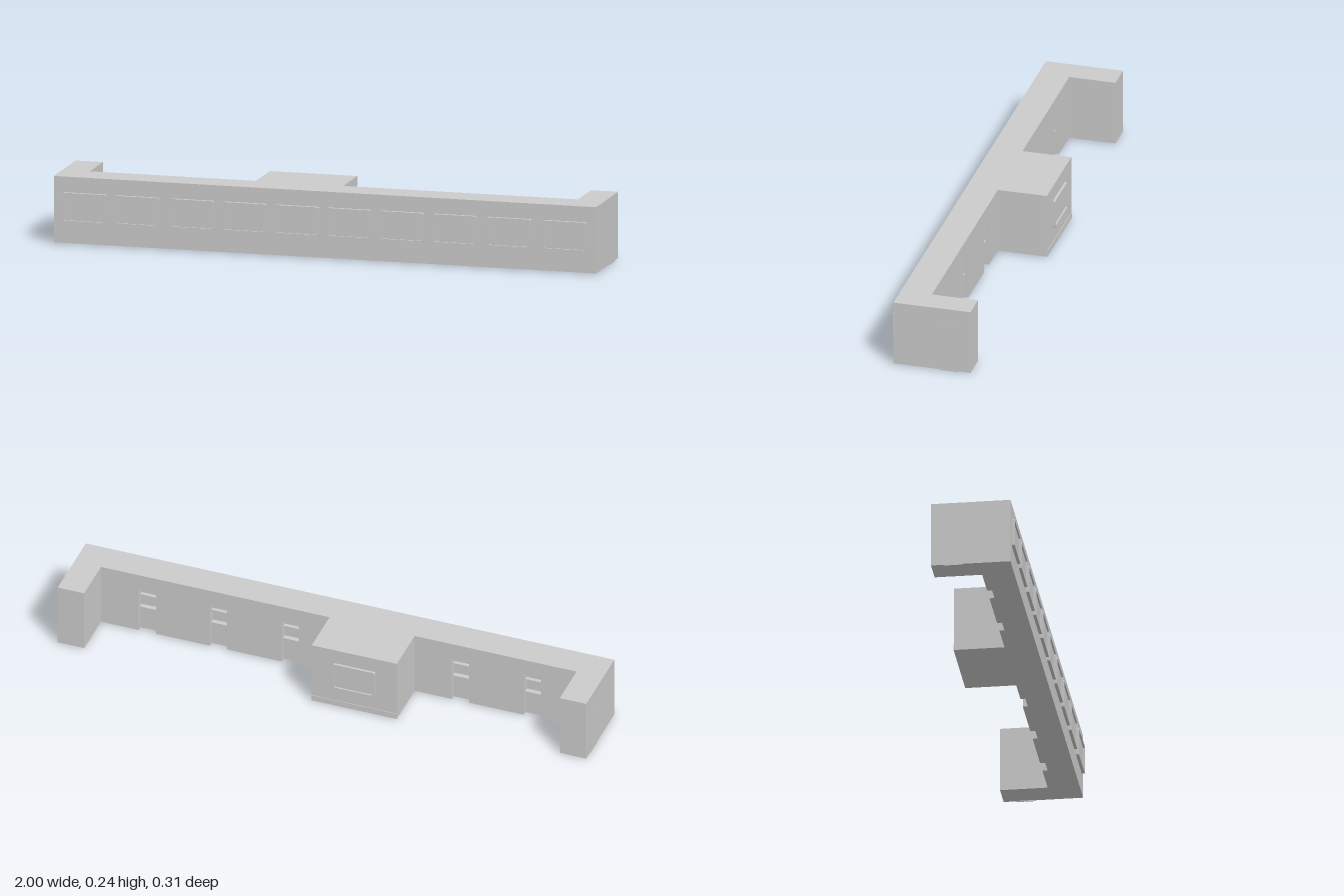
import * as THREE from 'three';

const BASE = 0.003, TOP = 0.243, DOOR_TOP = 0.18;
const FRONT = 0.146, WALL = 0.032, WING = -0.138, BLOCK = -0.148;
const DOOR_W = 0.065, NICHE = 0.03;
const DOORS = [0.725, 0.455, 0.183, -0.46, -0.733];
const material = new THREE.MeshStandardMaterial({ color: 0xcccccc, flatShading: true });

function add(parent, geometry, name, x = 0, y = 0, z = 0) {
  const mesh = new THREE.Mesh(geometry, material);
  mesh.name = name;
  mesh.position.set(x, y, z);
  parent.add(mesh);
  return mesh;
}

// Building plan, as (x, -z); the lower storey has door niches cut in the rear wall
function footprint(withNiches) {
  const pts = [[-1, FRONT], [1, FRONT], [1, WING], [0.9, WING], [0.9, WALL]];
  const niches = (test) => {
    if (!withNiches) return;
    for (const x of DOORS.filter(test)) {
      const a = x + DOOR_W / 2, b = x - DOOR_W / 2;
      pts.push([a, WALL], [a, WALL + NICHE], [b, WALL + NICHE], [b, WALL]);
    }
  };
  niches((x) => x > 0);
  pts.push([0.035, WALL], [0.035, BLOCK], [-0.287, BLOCK], [-0.287, WALL]);
  niches((x) => x < 0);
  pts.push([-0.9, WALL], [-0.9, WING], [-1, WING]);
  return new THREE.Shape(pts.map(([x, z]) => new THREE.Vector2(x, -z)));
}

function storey(withNiches, y0, y1) {
  const g = new THREE.ExtrudeGeometry(footprint(withNiches), { depth: y1 - y0, bevelEnabled: false });
  return g.rotateX(-Math.PI / 2).translate(0, y0, 0);
}

function roundedRect(target, w, h, r) {
  const x = w / 2, y = h / 2;
  target.moveTo(-x + r, -y);
  target.lineTo(x - r, -y);
  target.quadraticCurveTo(x, -y, x, -y + r);
  target.lineTo(x, y - r);
  target.quadraticCurveTo(x, y, x - r, y);
  target.lineTo(-x + r, y);
  target.quadraticCurveTo(-x, y, -x, y - r);
  target.lineTo(-x, -y + r);
  target.quadraticCurveTo(-x, -y, -x + r, -y);
  return target;
}

// Window: thin raised frame around a slightly sunken pane
function makeWindow(name) {
  const group = new THREE.Group();
  group.name = name;
  const w = 0.16, h = 0.107, rim = 0.007;
  const frame = roundedRect(new THREE.Shape(), w, h, 0.006);
  frame.holes.push(roundedRect(new THREE.Path(), w - 2 * rim, h - 2 * rim, 0.004));
  add(group, new THREE.ExtrudeGeometry(frame, { depth: 0.011, bevelEnabled: false, curveSegments: 3 }), 'windowFrame');
  add(group, new THREE.BoxGeometry(w - rim, h - rim, 0.005), 'windowPane', 0, 0, 0.0025);
  return group;
}

export function createModel() {
  const model = new THREE.Group();
  model.name = 'building';

  add(model, storey(true, BASE, DOOR_TOP), 'lowerWalls');
  add(model, storey(false, DOOR_TOP, TOP), 'upperWalls');

  // Front row of windows
  for (const x of [-0.885, -0.69, -0.487, -0.295, -0.1, 0.09, 0.285, 0.48, 0.68, 0.885]) {
    const win = makeWindow('frontWindow');
    win.position.set(x, 0.133, FRONT);
    model.add(win);
  }

  // Window and plinth on the projecting rear block
  const rear = makeWindow('rearWindow');
  rear.rotation.y = Math.PI;
  rear.position.set(-0.126, 0.133, BLOCK + 0.002);
  model.add(rear);
  add(model, new THREE.BoxGeometry(0.322, 0.022, 0.004), 'rearPlinth', -0.126, 0.014, BLOCK);

  // Recessed rear doors: lower panel, rail and transom in each niche
  const back = WALL + NICHE;
  for (const x of DOORS) {
    const door = new THREE.Group();
    door.name = 'rearDoor';
    door.position.set(x, 0, back);
    add(door, new THREE.BoxGeometry(DOOR_W, 0.085, 0.012), 'doorLowerPanel', 0, BASE + 0.0425, -0.006);
    add(door, new THREE.BoxGeometry(DOOR_W, 0.01, 0.018), 'doorRail', 0, 0.093, -0.009);
    add(door, new THREE.BoxGeometry(DOOR_W, 0.008, 0.014), 'doorTransom', 0, 0.145, -0.007);
    model.add(door);
  }

  // Flush doors in the end walls
  for (const side of [-1, 1]) {
    add(model, new THREE.BoxGeometry(0.004, 0.18, 0.065), 'endDoor', side * 0.9985, 0.09, -0.06);
  }
  return model;
}
